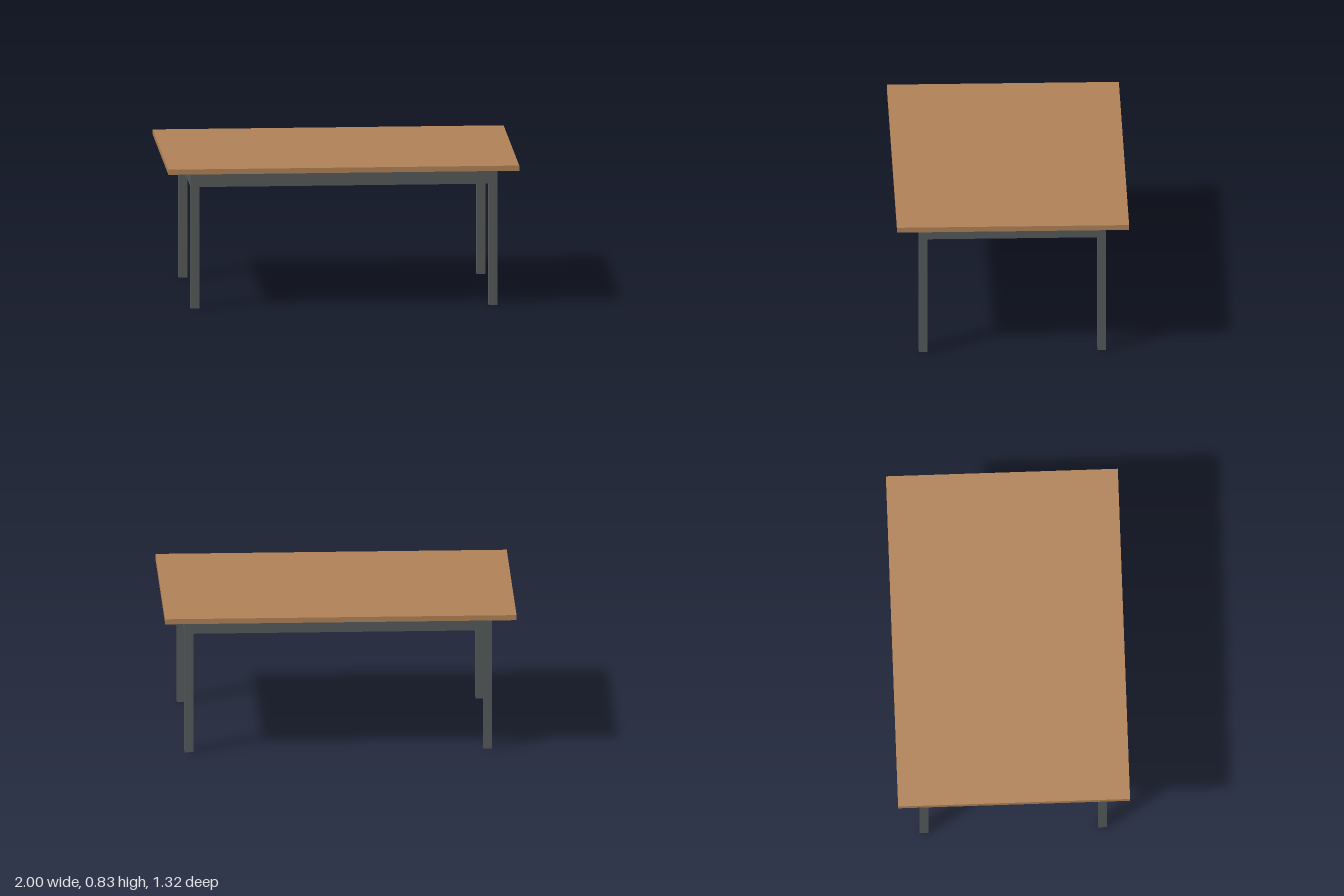
import * as THREE from 'three';

export function createModel() {
  const table = new THREE.Group();
  table.name = 'table';

  const wood = new THREE.MeshStandardMaterial({ color: 0xb08257 });
  wood.name = 'wood';
  const metal = new THREE.MeshStandardMaterial({ color: 0x565a5a });
  metal.name = 'grey metal';

  const box = (name, material, w, h, d, x, y, z) => {
    const mesh = new THREE.Mesh(new THREE.BoxGeometry(w, h, d), material);
    mesh.name = name;
    mesh.position.set(x, y + h / 2, z);
    table.add(mesh);
  };

  const topY = 0.797, topThickness = 0.03;
  const tube = 0.05;                // square section of the legs and rails
  const railY = 0.702, railH = topY - railY;
  const frameX = 0.01;              // the frame sits slightly off centre
  const legX = 0.85, legZ = 0.508;  // leg centre lines

  // Flat board
  box('tableTop', wood, 2, topThickness, 1.32, 0, topY, 0);

  for (const [sideZ, end] of [[1, 'front'], [-1, 'back']]) {
    // Long rails run over the legs
    box(`${end}Rail`, metal, 2 * legX + tube, railH, tube, frameX, railY, sideZ * legZ);
    for (const [sideX, side] of [[1, 'Left'], [-1, 'Right']]) {
      box(`${end}${side}Leg`, metal, tube, railY, tube, frameX + sideX * legX, 0, sideZ * legZ);
    }
  }

  // Short rails fit between the long ones
  for (const [sideX, side] of [[1, 'left'], [-1, 'right']]) {
    box(`${side}Rail`, metal, tube, railH, 2 * legZ - tube, frameX + sideX * legX, railY, 0);
  }

  return table;
}
